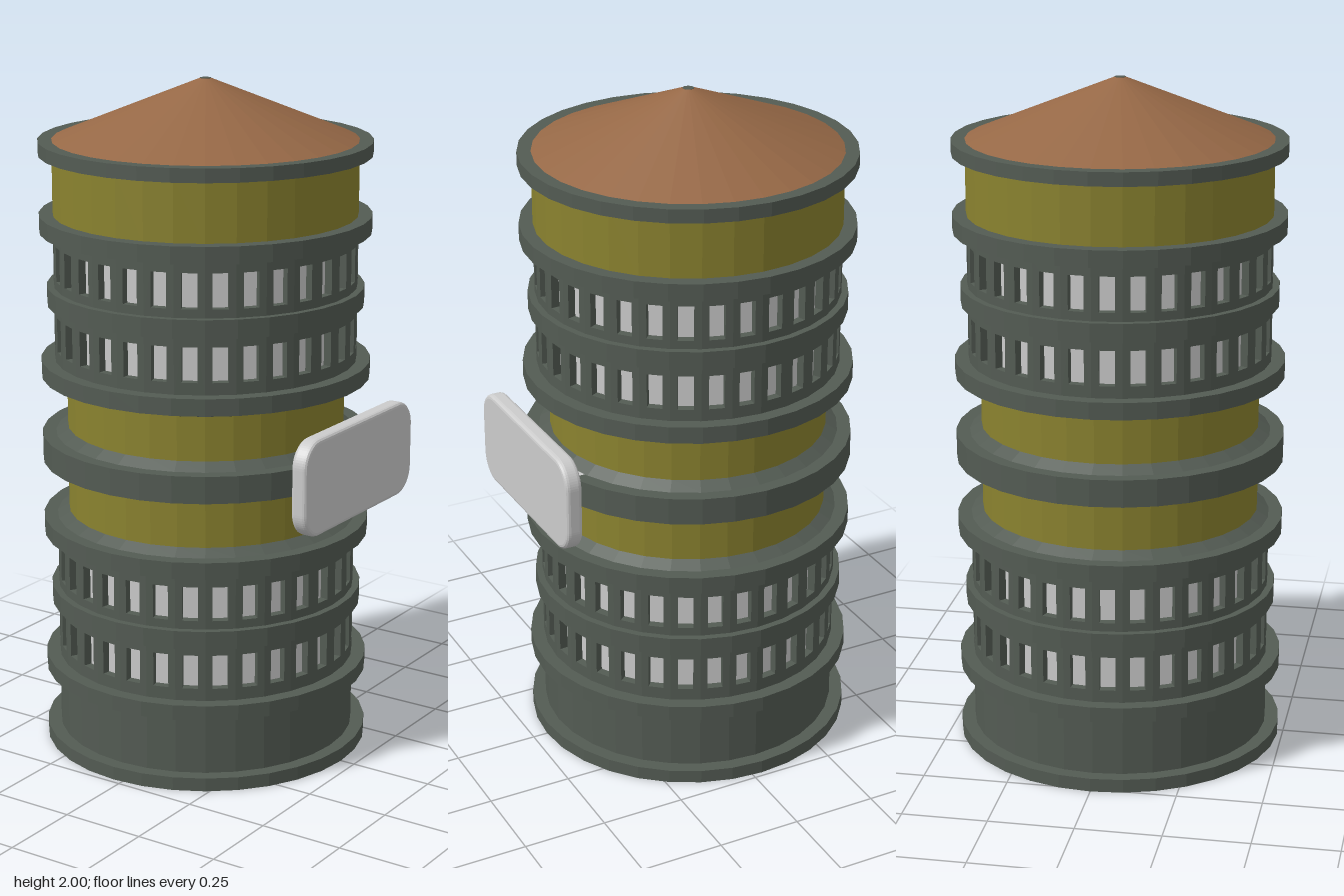
import * as THREE from 'three';
import { mergeGeometries } from 'three/addons/utils/BufferGeometryUtils.js';

const SIDES = 32;
const RIM = 0.485, WALL = 0.445, NECK = 0.41, BAND = 0.465, GLASS = 0.42;

const paint = (color) => new THREE.MeshStandardMaterial({ color, flatShading: true });
const dark = paint(0x535b53), yellow = paint(0x8a822f), brown = paint(0x966846), grey = paint(0xcccccc);

export function createModel() {
  const model = new THREE.Group();
  const tower = new THREE.Group();
  tower.name = 'tower';
  tower.position.x = -0.03;
  model.add(tower);

  const add = (parent, name, geometry, material) => {
    const mesh = new THREE.Mesh(geometry, material);
    mesh.name = name;
    parent.add(mesh);
    return mesh;
  };
  // Turned part from [radius, height] pairs, listed bottom to top
  const turned = (name, profile, material) =>
    add(tower, name, new THREE.LatheGeometry(profile.map(([r, y]) => new THREE.Vector2(r, y)), SIDES), material);
  const ring = (name, r, y0, y1) => turned(name, [[0.4, y0], [r, y0], [r, y1], [0.4, y1]], dark);

  // Plinth, with its bottom rim and top rim
  turned('base', [[0, 0], [RIM, 0], [RIM, 0.04], [WALL, 0.04], [WALL, 0.22],
    [RIM, 0.22], [RIM, 0.265], [0.4, 0.265]], dark);

  // Rings between the sections, some with sloping shoulders
  ring('lowerWindowRing', BAND, 0.43, 0.485);
  turned('lowerShoulderRing', [[0.4, 0.65], [RIM, 0.65], [RIM, 0.7], [WALL, 0.7], [NECK, 0.72], [0.4, 0.72]], dark);
  turned('middleRing', [[0.4, 0.855], [NECK, 0.855], [WALL, 0.875], [RIM, 0.875], [RIM, 0.955],
    [WALL, 0.955], [NECK, 0.977], [0.4, 0.977]], dark);
  turned('upperShoulderRing', [[0.4, 1.108], [NECK, 1.108], [WALL, 1.13], [RIM, 1.13], [RIM, 1.18], [0.4, 1.18]], dark);
  ring('upperWindowRing', BAND, 1.345, 1.4);
  ring('lowerTopRing', RIM, 1.56, 1.61);
  ring('eavesRing', RIM, 1.785, 1.825);

  // Painted walls
  turned('lowerNeckWall', [[NECK, 0.71], [NECK, 0.865]], yellow);
  turned('upperNeckWall', [[NECK, 0.97], [NECK, 1.115]], yellow);
  turned('topWall', [[WALL, 1.6], [WALL, 1.79]], yellow);

  // Window rows: a pierced panel on every side, with glass set back behind
  const windowRow = (name, y0, y1, sill, head) => {
    const half = WALL * Math.sin(Math.PI / SIDES), w = 0.0225, depth = 0.03;
    const shape = new THREE.Shape([[-half, y0], [half, y0], [half, y1], [-half, y1]]
      .map((p) => new THREE.Vector2(...p)));
    shape.holes.push(new THREE.Path([[-w, sill], [-w, head], [w, head], [w, sill]]
      .map((p) => new THREE.Vector2(...p))));
    const panel = new THREE.ExtrudeGeometry(shape, { depth, bevelEnabled: false });
    panel.translate(0, 0, WALL * Math.cos(Math.PI / SIDES) - depth);
    const panels = [];
    for (let i = 0; i < SIDES; i++) {
      panels.push(panel.clone().rotateY(((i + 0.5) / SIDES) * Math.PI * 2));
    }
    add(tower, name + 'Frames', mergeGeometries(panels), dark);
    turned(name + 'Glass', [[GLASS, y0], [GLASS, y1]], grey);
  };
  windowRow('firstWindowRow', 0.26, 0.435, 0.302, 0.404);
  windowRow('secondWindowRow', 0.48, 0.655, 0.51, 0.612);
  windowRow('thirdWindowRow', 1.175, 1.35, 1.215, 1.317);
  windowRow('fourthWindowRow', 1.395, 1.565, 1.425, 1.527);

  // Conical roof with a small flat cap
  turned('roof', [[WALL, 1.825], [0.016, 1.999]], brown);
  turned('roofCap', [[0.016, 1.998], [0.016, 2], [0, 2]], dark);

  // Rounded sign plate on the left side, and its bracket
  const sign = new THREE.Group();
  sign.name = 'sign';
  model.add(sign);
  const bevel = 0.012, hw = 0.298 - bevel, hh = 0.142 - bevel, r = 0.065;
  const plate = new THREE.Shape();
  plate.absarc(hw - r, hh - r, r, 0, Math.PI / 2);
  plate.absarc(r - hw, hh - r, r, Math.PI / 2, Math.PI);
  plate.absarc(r - hw, r - hh, r, Math.PI, Math.PI * 1.5);
  plate.absarc(hw - r, r - hh, r, Math.PI * 1.5, Math.PI * 2);
  const plateGeometry = new THREE.ExtrudeGeometry(plate, {
    depth: 0.05 - 2 * bevel, bevelSize: bevel, bevelThickness: bevel, bevelSegments: 3, curveSegments: 8,
  });
  plateGeometry.rotateY(Math.PI / 2);
  add(sign, 'signPlate', plateGeometry, grey).position.set(0.455 + bevel, 0.922, 0);
  add(sign, 'signBracket', new THREE.BoxGeometry(0.08, 0.08, 0.32), grey).position.set(0.42, 0.915, 0);

  return model;
}
